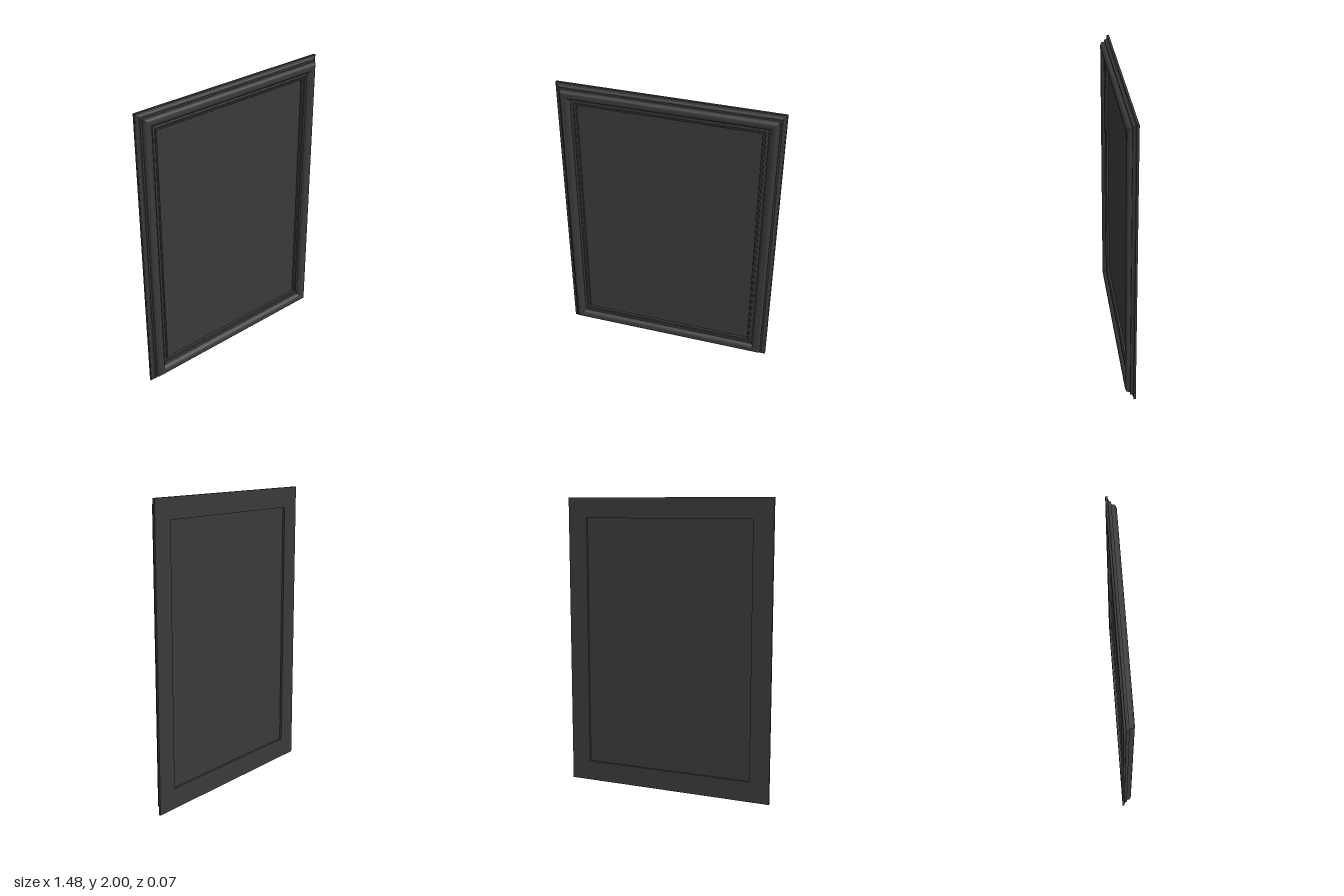
import * as THREE from 'three';
import { toCreasedNormals } from 'three/addons/utils/BufferGeometryUtils.js';

const W = 1.476, H = 2;

// Moulding cross-section: [inset from the outer edge, z], a closed loop
function mouldingProfile() {
  const p = [[0.138, -0.033], [0, -0.033], [0, -0.019], [0.008, -0.019]];
  const arc = (cx, cz, rx, rz, from, to, steps) => {
    for (let i = 0; i <= steps; i++) {
      const t = THREE.MathUtils.degToRad(from + (to - from) * i / steps);
      p.push([cx + rx * Math.cos(t), cz + rz * Math.sin(t)]);
    }
  };
  arc(0.008, -0.003, 0.016, 0.014, -80, 0, 5);    // outer cove
  p.push([0.024, 0.001], [0.036, 0.001]);         // fillet
  arc(0.060, 0.012, 0.024, 0.021, 180, 90, 8);    // outer shoulder of the crown
  arc(0.060, 0.009, 0.036, 0.024, 90, 8, 8);      // crown falling inwards
  p.push([0.098, 0.008], [0.100, 0.006]);
  arc(0.110, 0.006, 0.009, 0.006, 180, 0, 6);     // inner bead
  p.push([0.120, 0.001], [0.126, 0.001]);
  arc(0.132, 0.001, 0.006, 0.004, 180, 0, 4);     // sight-edge bead
  p.push([0.138, -0.033]);
  return p;
}

// Sweep the profile round a rectangle with mitred corners
function mitredFrame(profile) {
  const signs = [[-1, -1], [1, -1], [1, 1], [-1, 1]];
  const point = ([sx, sy], [d, z]) => [sx * (W / 2 - d), H / 2 + sy * (H / 2 - d), z];
  const positions = [];
  for (let s = 0; s < 4; s++) {
    const a = signs[s], b = signs[(s + 1) % 4];
    for (let i = 0; i < profile.length - 1; i++) {
      const a0 = point(a, profile[i]), b0 = point(b, profile[i]);
      const a1 = point(a, profile[i + 1]), b1 = point(b, profile[i + 1]);
      positions.push(...a0, ...b0, ...b1, ...a0, ...b1, ...a1);
    }
  }
  const geometry = new THREE.BufferGeometry();
  geometry.setAttribute('position', new THREE.Float32BufferAttribute(positions, 3));
  return toCreasedNormals(geometry, Math.PI / 6);
}

export function createModel() {
  const group = new THREE.Group();
  group.name = 'pictureFrame';
  const material = new THREE.MeshStandardMaterial({ color: 0x3a3a3a });

  const frame = new THREE.Mesh(mitredFrame(mouldingProfile()), material);
  frame.name = 'mouldedFrame';

  // Flat panel set back from both faces of the frame
  const panel = new THREE.Mesh(new THREE.BoxGeometry(W - 0.274, H - 0.274, 0.008), material);
  panel.name = 'panel';
  panel.position.set(0, H / 2, -0.014);

  group.add(frame, panel);
  return group;
}
